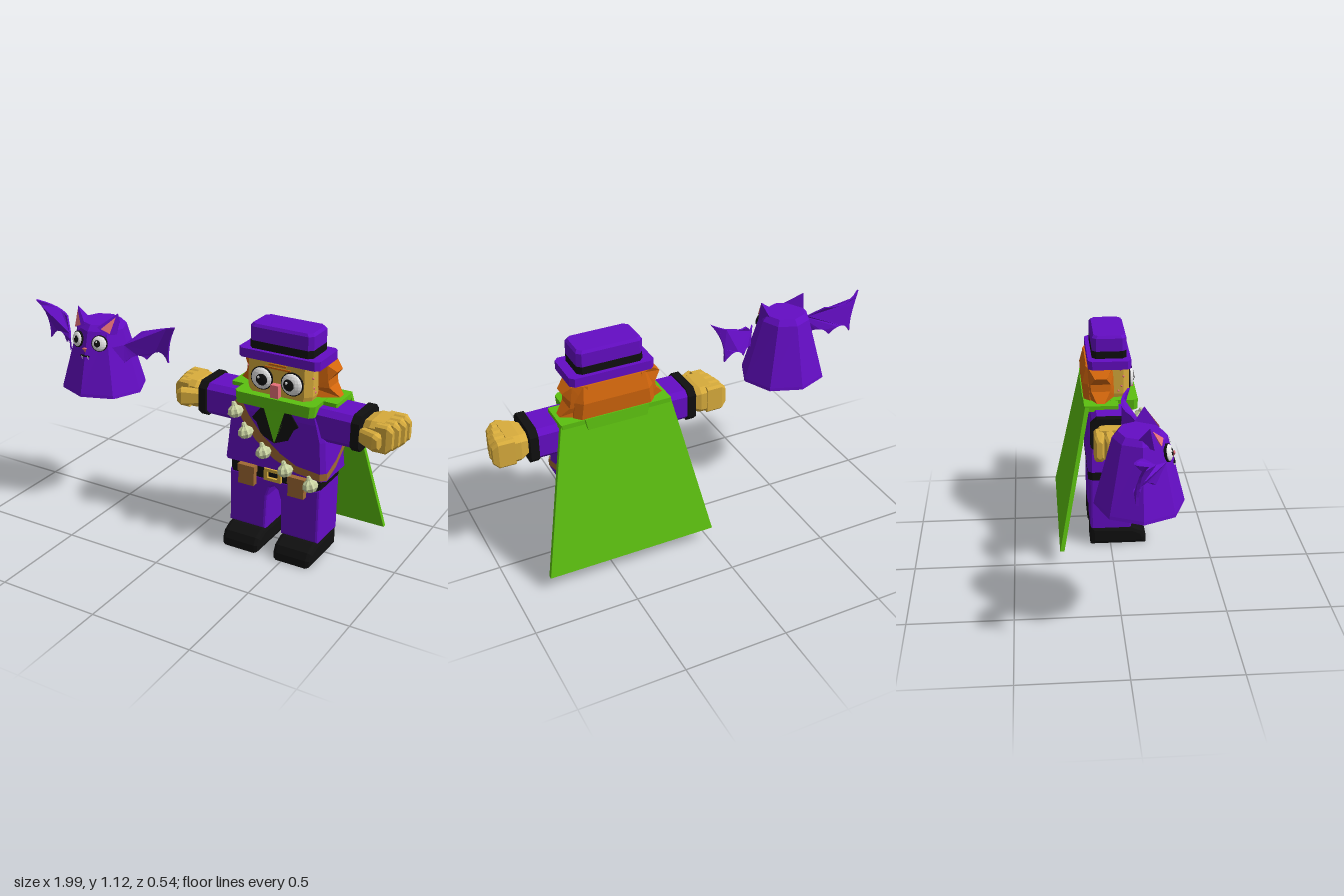
import * as THREE from 'three';
import { ConvexGeometry } from 'three/addons/geometries/ConvexGeometry.js';

const mat = (name, color, side = THREE.FrontSide) => {
  const m = new THREE.MeshStandardMaterial({ color, flatShading: true, side });
  m.name = name;
  return m;
};
const V = (x, y, z) => new THREE.Vector3(x, y, z);

// Joins rings of points (ordered from +x towards +z, rising in y) into a closed solid.
function loft(rings) {
  const pos = [], tri = (...p) => p.forEach(v => pos.push(v.x, v.y, v.z));
  const n = rings[0].length;
  for (let k = 0; k < rings.length - 1; k++) {
    for (let i = 0; i < n; i++) {
      const j = (i + 1) % n, a = rings[k], b = rings[k + 1];
      tri(a[i], b[i], a[j]);
      tri(a[j], b[i], b[j]);
    }
  }
  const lo = rings[0], hi = rings[rings.length - 1];
  for (let i = 1; i < n - 1; i++) {
    tri(lo[0], lo[i], lo[i + 1]);
    tri(hi[0], hi[i + 1], hi[i]);
  }
  const g = new THREE.BufferGeometry();
  g.setAttribute('position', new THREE.Float32BufferAttribute(pos, 3));
  g.computeVertexNormals();
  return g;
}
// Solid with chamfered rectangular sections: levels of [y, half width, half depth, z centre].
const block = (levels, c = 0.02) => loft(levels.map(([y, hx, hz, cz = 0]) =>
  [[hx, c - hz], [hx, hz - c], [hx - c, hz], [c - hx, hz], [-hx, hz - c], [-hx, c - hz], [c - hx, -hz], [hx - c, -hz]]
    .map(([x, z]) => V(x, y, z + cz))));
const polygon = pts => new THREE.Shape(pts.map(p => new THREE.Vector2(...p)));
const extrude = (shape, depth, bevel = 0) => new THREE.ExtrudeGeometry(shape, {
  depth, bevelEnabled: bevel > 0, bevelSize: bevel, bevelThickness: bevel, bevelOffset: -bevel, bevelSegments: 2, curveSegments: 6,
});
const box = (w, h, d) => new THREE.BoxGeometry(w, h, d);

export function createModel() {
  const purple = mat('purple', 0x640dc4), green = mat('green', 0x5cc010), black = mat('black', 0x101010);
  const gold = mat('gold', 0xd8ac3c), orange = mat('orange', 0xd2660c), white = mat('white', 0xf0f0f0);
  const pink = mat('pink', 0xe8707a), garlicCream = mat('garlicCream', 0xccd6a4);
  const brown = mat('brown', 0xa06a34, THREE.DoubleSide);

  const root = new THREE.Group(), hero = new THREE.Group(), bat = new THREE.Group();
  hero.name = 'hero';
  hero.position.x = 0.412;
  bat.name = 'bat';
  bat.position.set(-0.582, 0, 0.07);
  root.add(hero, bat);
  const add = (parent, name, geo, m, x = 0, y = 0, z = 0) => {
    const mesh = new THREE.Mesh(geo, m);
    mesh.name = name;
    mesh.position.set(x, y, z);
    parent.add(mesh);
    return mesh;
  };
  // Round eye with dark rim, pupil and glint, facing +z
  const eye = (parent, name, r, x, y, z, look) => {
    const g = new THREE.Group();
    g.name = name;
    g.position.set(x, y, z);
    const ball = new THREE.SphereGeometry(1, 18, 10);
    add(g, 'eyeRim', new THREE.CylinderGeometry(r * 1.08, r * 1.08, 0.012, 18).rotateX(Math.PI / 2), black);
    add(g, 'eyeWhite', ball, white, 0, 0, 0.004).scale.set(r, r, r * 0.45);
    add(g, 'pupil', ball, black, look, 0, r * 0.34).scale.set(r * 0.6, r * 0.6, r * 0.25);
    add(g, 'glint', ball, white, look - r * 0.2, r * 0.2, r * 0.54).scale.set(r * 0.14, r * 0.14, r * 0.06);
    parent.add(g);
    return g;
  };

  // Hat
  add(hero, 'hatBrim', block([[0.96, 0.205, 0.107], [1.003, 0.205, 0.107]]), purple);
  add(hero, 'hatBand', block([[1.0, 0.16, 0.086], [1.04, 0.16, 0.086]]), black);
  add(hero, 'hatCrown', block([[1.04, 0.16, 0.085], [1.105, 0.16, 0.085], [1.118, 0.15, 0.076]]), purple);

  // Head, face and hair
  add(hero, 'head', block([[0.76, 0.15, 0.09, 0.005], [0.82, 0.165, 0.095, 0.005], [0.965, 0.165, 0.095, 0.005]], 0.03), gold);
  add(hero, 'nose', box(0.04, 0.065, 0.04), pink, 0, 0.83, 0.11);
  for (const y of [0.934, 0.95]) add(hero, 'browLine', box(y < 0.94 ? 0.13 : 0.09, 0.008, 0.008), orange, 0, y, 0.102);
  add(hero, 'backHair', block([[0.8, 0.2, 0.045, -0.085], [0.88, 0.19, 0.048, -0.087], [0.96, 0.18, 0.035, -0.08]], 0.03), orange);
  for (const s of [1, -1]) {
    eye(hero, 'eye', 0.052, s * 0.077, 0.876, 0.102, -s * 0.006);
    for (const [y, z] of [[0.945, 0.055], [0.91, 0.07], [0.86, 0.06], [0.835, 0.045]])
      add(hero, 'freckle', new THREE.SphereGeometry(0.006, 8, 6), pink, s * 0.164, y, z);
    // Side tuft narrows towards its two tips
    const tuft = extrude(polygon([[0.13, 0.96], [0.2, 0.96], [0.24, 0.925], [0.207, 0.885], [0.213, 0.85], [0.255, 0.803], [0.15, 0.803], [0.13, 0.85]]
      .map(([x, y]) => [s * x, y])), 0.15);
    tuft.translate(0, 0, -0.12);
    const p = tuft.attributes.position;
    for (let i = 0; i < p.count; i++) {
      const k = 1 - 0.75 * Math.max(0, (Math.abs(p.getX(i)) - 0.17) / 0.085);
      p.setZ(i, -0.05 + (p.getZ(i) + 0.05) * k);
    }
    tuft.computeVertexNormals();
    add(hero, 'hairTuft', tuft, orange);
  }

  // Collar and cape
  add(hero, 'collarFront', block([[0.745, 0.2, 0.08, 0.06], [0.8, 0.205, 0.08, 0.06]]), green);
  add(hero, 'collarShoulders', block([[0.768, 0.272, 0.085, -0.047], [0.798, 0.272, 0.085, -0.047]], 0.005), green);
  add(hero, 'collarBack', block([[0.745, 0.15, 0.012, -0.127], [0.8, 0.16, 0.012, -0.123]], 0.004), green);
  add(hero, 'cape', block([[0.075, 0.423, 0.011, -0.258], [0.79, 0.272, 0.011, -0.118]], 0.001), green);

  // Jacket with neckerchief and lapels
  add(hero, 'jacket', block([[0.433, 0.264, 0.117], [0.5, 0.257, 0.115], [0.62, 0.247, 0.11], [0.7, 0.225, 0.107], [0.775, 0.2, 0.1]]), purple);
  const chest = (name, pts, m) => {
    const plate = add(hero, name, extrude(polygon(pts), 0.008), m, 0, 0.57, 0.109);
    plate.rotation.x = -0.03;
  };
  chest('neckerchief', [[-0.07, 0.19], [0, 0], [0.07, 0.19]], green);
  for (const s of [1, -1])
    chest('lapel', [[s * 0.055, 0.19], [s * 0.12, 0.105], [s * 0.095, 0.085], [s * 0.07, 0.03], [0, 0]], black);

  // Belt, buckle and pouches
  add(hero, 'belt', block([[0.375, 0.237, 0.113], [0.436, 0.237, 0.113]]), black);
  const buckle = polygon([[-0.045, 0.375], [0.045, 0.375], [0.045, 0.436], [-0.045, 0.436]]);
  buckle.holes.push(new THREE.Path([[-0.027, 0.39], [-0.027, 0.421], [0.027, 0.421], [0.027, 0.39]].map(p => new THREE.Vector2(...p))));
  add(hero, 'buckle', extrude(buckle, 0.015), gold, 0, 0, 0.112);
  for (const s of [1, -1]) {
    add(hero, 'pouch', box(0.082, 0.085, 0.032), brown, s * 0.131, 0.377, 0.128);
    add(hero, 'pouchFlap', box(0.088, 0.035, 0.038), brown, s * 0.131, 0.418, 0.128);
  }

  // Trousers with an arch between the legs
  const trousers = polygon([[-0.237, 0.1], [-0.042, 0.1], [-0.035, 0.28], [-0.02, 0.327], [0, 0.34], [0.02, 0.327],
    [0.035, 0.28], [0.042, 0.1], [0.237, 0.1], [0.237, 0.38], [-0.237, 0.38]]);
  add(hero, 'trousers', extrude(trousers, 0.19, 0.012), purple, 0, 0, -0.093);

  const upper = [[0.04, 0.69, 0], [0, 0, 0]];
  for (const s of [1, -1]) {
    // Boot
    const boot = extrude(polygon([[-0.105, 0], [0.185, 0], [0.185, 0.04], [0.168, 0.075], [0.115, 0.098], [-0.105, 0.105]]), 0.155, 0.022);
    boot.rotateY(-Math.PI / 2).translate(0.0775, 0, 0);
    add(hero, 'boot', boot, black, s * 0.138, 0, 0);

    // Sleeve, cuff and hand, lofted outwards along the arm
    const arm = new THREE.Group();
    arm.name = s > 0 ? 'leftArm' : 'rightArm';
    arm.position.y = 0.7;
    arm.rotation.z = -s * Math.PI / 2;
    hero.add(arm);
    add(arm, 'sleeve', block([[0.15, 0.08, 0.1], [0.38, 0.078, 0.1]], 0.025), purple);
    add(arm, 'cuff', block([[0.373, 0.087, 0.11], [0.413, 0.087, 0.11]], 0.03), black);
    add(arm, 'palm', block([[0.405, 0.055, 0.07, -0.005], [0.45, 0.068, 0.09, -0.005], [0.51, 0.07, 0.09, -0.005]], 0.025), gold);
    [[-0.075, 0.582], [-0.027, 0.58], [0.021, 0.57], [0.067, 0.558]].forEach(([z, tip]) =>
      add(arm, 'finger', block([[0.48, 0.068, 0.025, z], [tip - 0.025, 0.068, 0.024, z], [tip, 0.045, 0.013, z]], 0.011), gold));
    const thumb = add(arm, 'thumb', block([[-0.05, 0.035, 0.025], [0.04, 0.042, 0.026], [0.06, 0.028, 0.014]], 0.012), gold, 0, 0.465, 0.105);
    thumb.rotation.x = 0.45;
  }

  // Bandolier running round the jacket
  const path = [[-0.2, 0.755, -0.11], [-0.215, 0.775, 0], [-0.2, 0.745, 0.113], [-0.15, 0.665, 0.118], [-0.08, 0.585, 0.12], [0.02, 0.51, 0.122],
    [0.12, 0.468, 0.122], [0.24, 0.455, 0.122], [0.267, 0.458, 0.1], [0.264, 0.485, 0], [0.26, 0.55, -0.1], [0.235, 0.58, -0.12], [0, 0.67, -0.116], [-0.2, 0.755, -0.11]];
  const strapPos = [], strapIdx = [];
  path.forEach(([x, y, z], i) => {
    const lean = i > 1 && i < 6 ? 0.016 : 0;
    strapPos.push(x - lean, y - 0.018, z, x + lean, y + 0.018, z);
    if (i) strapIdx.push(2 * i - 2, 2 * i, 2 * i - 1, 2 * i - 1, 2 * i, 2 * i + 1);
  });
  const strap = new THREE.BufferGeometry();
  strap.setAttribute('position', new THREE.Float32BufferAttribute(strapPos, 3));
  strap.setIndex(strapIdx);
  strap.computeVertexNormals();
  add(hero, 'bandolier', strap, brown);

  // Garlic bulbs with lobed sides
  const bulb = new THREE.LatheGeometry([[0, -0.032], [0.022, -0.028], [0.036, -0.008], [0.031, 0.012], [0.013, 0.026], [0.008, 0.045], [0, 0.047]]
    .map(p => new THREE.Vector2(...p)), 16);
  const bp = bulb.attributes.position;
  for (let i = 0; i < bp.count; i++) {
    const k = 1 + 0.09 * Math.cos(8 * Math.atan2(bp.getZ(i), bp.getX(i)));
    bp.setX(i, bp.getX(i) * k);
    bp.setZ(i, bp.getZ(i) * k);
  }
  bulb.computeVertexNormals();
  for (const [x, y] of [[-0.185, 0.708], [-0.13, 0.615], [-0.035, 0.535], [0.08, 0.47], [0.21, 0.425]])
    add(hero, 'garlic', bulb, garlicCream, x, y, 0.155).rotation.z = 0.25;

  // Bat body
  const octagon = (y, rx, rz) => Array.from({ length: 8 }, (_, i) => V(rx * Math.cos(i * Math.PI / 4), y, rz * Math.sin(i * Math.PI / 4)));
  add(bat, 'batBody', loft([octagon(0.64, 0.217, 0.2), octagon(0.655, 0.214, 0.198), octagon(0.955, 0.124, 0.12), octagon(0.982, 0.1, 0.095)]), purple);
  add(bat, 'batNose', new THREE.ConeGeometry(0.017, 0.024, 3).rotateX(Math.PI), pink, 0, 0.865, 0.145);
  add(bat, 'batMouth', box(0.05, 0.006, 0.008), black, 0, 0.838, 0.149);
  for (const s of [1, -1]) {
    const e = eye(bat, 'batEye', 0.037, s * 0.064, 0.903, 0.113, -s * 0.004);
    e.rotation.set(-0.22, s * 0.35, 0);
    add(bat, 'fang', new THREE.ConeGeometry(0.007, 0.02, 4).rotateX(Math.PI), white, s * 0.018, 0.829, 0.149);
    add(bat, 'batFoot', new THREE.SphereGeometry(0.05, 10, 8), purple, s * 0.087, 0.642, 0.03);

    // Ear with pink lining
    add(bat, 'ear', new ConvexGeometry([V(s * 0.12, 1.042, 0.03), V(s * 0.122, 0.94, 0.05), V(s * 0.035, 0.972, 0.09), V(s * 0.075, 0.94, 0.1), V(s * 0.09, 0.96, -0.03)]), purple);
    add(bat, 'earLining', new ConvexGeometry([V(s * 0.115, 1.025, 0.042), V(s * 0.105, 0.95, 0.083), V(s * 0.06, 0.97, 0.094), V(s * 0.09, 0.97, 0.06)]), pink);

    // Scalloped wing, bowed backwards
    const w = new THREE.Shape();
    w.moveTo(s * 0.13, 0.89);
    w.lineTo(s * 0.165, 0.895);
    w.lineTo(s * 0.225, 0.955);
    w.quadraticCurveTo(s * 0.32, 0.97, s * 0.418, 1.01);
    w.quadraticCurveTo(s * 0.35, 0.92, s * 0.36, 0.81);
    w.quadraticCurveTo(s * 0.305, 0.9, s * 0.245, 0.81);
    w.quadraticCurveTo(s * 0.215, 0.86, s * 0.165, 0.805);
    const wing = extrude(w, 0.012), wp = wing.attributes.position;
    for (let i = 0; i < wp.count; i++) wp.setZ(i, wp.getZ(i) - 0.055 + 4 * (Math.abs(wp.getX(i)) - 0.32) ** 2);
    wing.computeVertexNormals();
    add(bat, 'wing', wing, purple);
  }
  return root;
}
